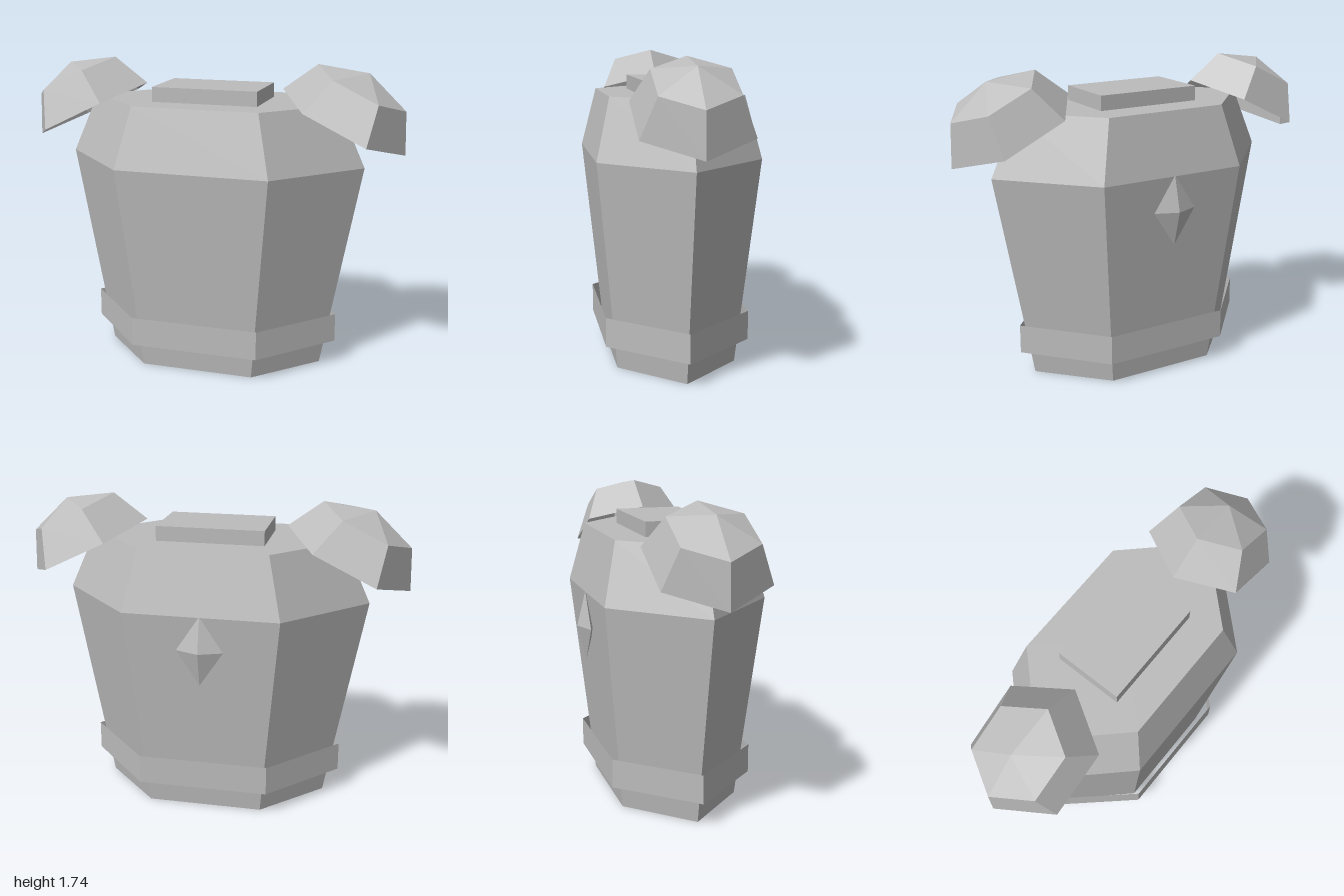
import * as THREE from 'three';

export function createModel() {
  const model = new THREE.Group();
  model.name = 'torsoArmour';
  const steel = new THREE.MeshStandardMaterial({ color: 0xbcbcbc, flatShading: true, side: THREE.DoubleSide });
  steel.name = 'steelGrey';

  // The whole body is turned a little to its right
  const body = new THREE.Group();
  body.name = 'body';
  body.rotation.y = -0.4014;
  model.add(body);

  function add(name, geometry, x = 0, y = 0, z = 0) {
    const mesh = new THREE.Mesh(geometry, steel);
    mesh.name = name;
    mesh.position.set(x, y, z);
    body.add(mesh);
    return mesh;
  }

  // Six-sided torso, flattened front to back, with its points at the sides
  const profile = [[0, 0], [0.648, 0], [0.87, 1.18], [0.715, 1.523], [0, 1.523]]
    .map(([r, y]) => new THREE.Vector2(r, y));
  add('torso', new THREE.LatheGeometry(profile, 6).rotateY(Math.PI / 2).scale(1, 1, 0.6));

  // Open belt band around the waist
  add('belt', new THREE.CylinderGeometry(0.735, 0.735, 0.165, 6, 1, true)
    .rotateY(Math.PI / 2).scale(1, 1, 0.635), 0, 0.2225, 0);

  // Neck plate
  add('neckPlate', new THREE.BoxGeometry(0.606, 0.085, 0.38), 0, 1.5635, 0);

  // Diamond stud on the back
  add('backStud', new THREE.OctahedronGeometry(1).scale(0.13, 0.197, 0.05), 0, 0.99, -0.456);

  // Open faceted shoulder domes, sloping down and outwards
  for (const [name, side] of [['leftShoulder', 1], ['rightShoulder', -1]]) {
    const dome = new THREE.SphereGeometry(1, 6, 2, 0, Math.PI * 2, 0, Math.PI / 2).scale(0.382, 0.302, 0.34);
    add(name, dome, side * 0.745, 1.433, 0).rotation.z = -side * 0.455;
  }

  return model;
}
